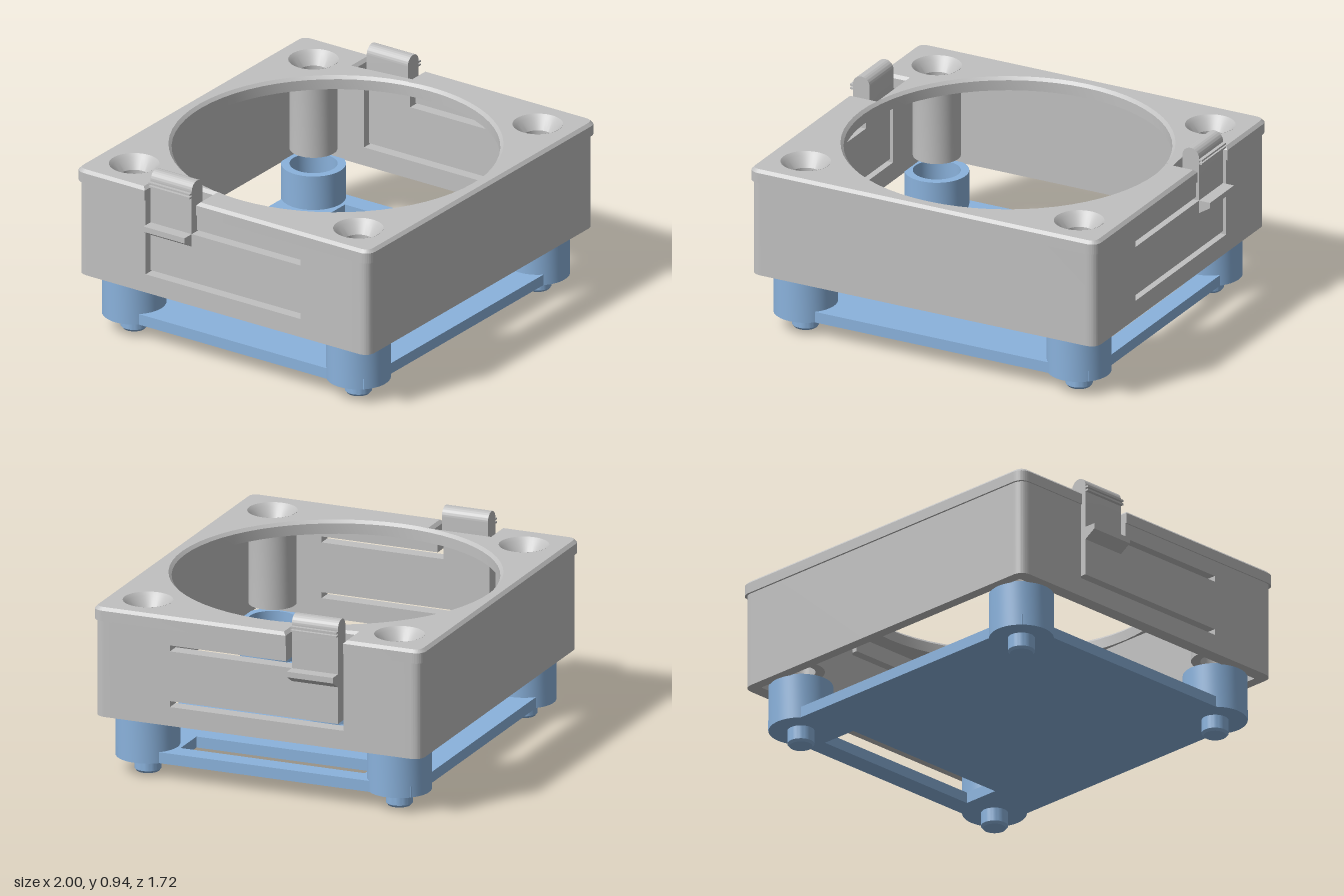
import * as THREE from 'three';
import { toCreasedNormals } from 'three/addons/utils/BufferGeometryUtils.js';

export function createModel() {
  const model = new THREE.Group();
  const grey = new THREE.MeshStandardMaterial({ color: 0xc0c0c0 });
  grey.name = 'light grey';
  const blue = new THREE.MeshStandardMaterial({ color: 0x8ab2dc });
  blue.name = 'soft blue';

  const add = (name, geometry, material, x = 0, y = 0, z = 0) => {
    const mesh = new THREE.Mesh(toCreasedNormals(geometry, 0.5), material);
    mesh.name = name;
    mesh.position.set(x, y, z);
    model.add(mesh);
    return mesh;
  };
  const polygon = (pts) => new THREE.Shape(pts.map(([a, b]) => new THREE.Vector2(a, b)));
  const extrude = (shape, depth) =>
    new THREE.ExtrudeGeometry(shape, { depth, bevelEnabled: false, curveSegments: 24 });
  const lathe = (pts) =>
    new THREE.LatheGeometry(pts.map(([r, y]) => new THREE.Vector2(r, y)), 48);
  const circle = (x, y, r) => new THREE.Path().absarc(x, y, r, 0, Math.PI * 2, true);
  const corners = [[-0.743, -0.655], [0.743, -0.655], [-0.743, 0.655], [0.743, 0.655]];

  // Base plate with one long slot
  const plate = polygon([[-0.855, -0.765], [0.855, -0.765], [0.855, 0.765], [-0.855, 0.765]]);
  plate.holes.push(polygon([[0.565, -0.48], [0.565, 0.48], [0.755, 0.48], [0.755, -0.48]]));
  add('basePlate', extrude(plate, 0.055).rotateX(-Math.PI / 2), blue, 0, 0.08, 0);
  add('centrePost', new THREE.CylinderGeometry(0.148, 0.148, 0.2, 48), blue, 0, 0.21, 0);

  // Corner sockets with locating pins, and the screw tubes above them
  const socket = [[0, 0.08], [0.155, 0.08], [0.155, 0.31], [0.115, 0.31], [0.115, 0.16], [0, 0.16]];
  const pin = [[0, 0], [0.055, 0], [0.065, 0.012], [0.065, 0.09]];
  const tube = [[0.07, 0.39], [0.115, 0.39], [0.115, 0.79], [0.12, 0.855],
    [0.105, 0.84], [0.07, 0.79], [0.07, 0.39]];
  for (const [x, z] of corners) {
    add('cornerSocket', lathe(socket), blue, x, 0, z);
    add('locatingPin', lathe(pin), blue, x, 0, z);
    add('screwTube', lathe(tube), grey, x, 0, z);
  }

  // Front and back walls with rounded corners
  for (const s of [1, -1]) {
    const wall = new THREE.Shape();
    wall.moveTo(0.94, s * 0.75);
    wall.lineTo(0.94, s * 0.79);
    wall.quadraticCurveTo(0.94, s * 0.85, 0.88, s * 0.85);
    wall.lineTo(-0.88, s * 0.85);
    wall.quadraticCurveTo(-0.94, s * 0.85, -0.94, s * 0.79);
    for (const [x, z] of [[-0.94, 0.75], [-0.87, 0.75], [-0.87, 0.795], [0.87, 0.795], [0.87, 0.75]]) {
      wall.lineTo(x, s * z);
    }
    add(s > 0 ? 'backWall' : 'frontWall', extrude(wall, 0.485).rotateX(-Math.PI / 2), grey, 0, 0.305, 0);
  }

  // Side walls, slotted to leave a springy clip arm (z, y outline)
  const sideWall = polygon([
    [-0.75, 0.305], [0.75, 0.305], [0.75, 0.79], [-0.15, 0.79], [-0.15, 0.71], [0.455, 0.71],
    [0.455, 0.68], [-0.18, 0.68], [-0.18, 0.8], [-0.42, 0.8], [-0.42, 0.43], [0.455, 0.43],
    [0.455, 0.4], [-0.45, 0.4], [-0.45, 0.79], [-0.75, 0.79],
  ]);
  for (const s of [1, -1]) {
    const side = s > 0 ? 'left' : 'right';
    add(side + 'WallWithClipArm', extrude(sideWall, 0.07).rotateY(-Math.PI / 2), grey, s > 0 ? 0.94 : -0.87, 0, 0);

    // Rounded clip head, grip ridges and wedge-shaped catch
    const head = new THREE.Shape();
    head.moveTo(-0.045, 0.78);
    head.lineTo(0.045, 0.78);
    head.lineTo(0.045, 0.9);
    head.absarc(0, 0.9, 0.045, 0, Math.PI, false);
    head.lineTo(-0.045, 0.78);
    add(side + 'ClipHead', extrude(head, 0.24), grey, s * 0.895, 0, -0.42);
    for (const y of [0.872, 0.89]) {
      add(side + 'GripRidge', new THREE.BoxGeometry(0.025, 0.009, 0.24), grey, s * 0.945, y, -0.3);
    }
    const hook = polygon([[0.93, 0.61], [0.94, 0.615], [1, 0.652], [1, 0.68], [0.93, 0.68]]
      .map(([x, y]) => [s * x, y]));
    add(side + 'ClipCatch', extrude(hook, 0.24), grey, 0, 0, -0.42);
  }

  // Lid: rounded outline notched for the clips, large round opening, screw holes
  const X = 0.947, Z = 0.86, R = 0.06;
  const lid = new THREE.Shape();
  lid.moveTo(-X + R, -Z);
  lid.lineTo(X - R, -Z);
  lid.quadraticCurveTo(X, -Z, X, -Z + R);
  for (const [x, y] of [[X, 0.15], [0.8, 0.15], [0.8, 0.45], [X, 0.45], [X, Z - R]]) lid.lineTo(x, y);
  lid.quadraticCurveTo(X, Z, X - R, Z);
  lid.lineTo(-X + R, Z);
  lid.quadraticCurveTo(-X, Z, -X, Z - R);
  for (const [x, y] of [[-X, 0.45], [-0.8, 0.45], [-0.8, 0.15], [-X, 0.15], [-X, -Z + R]]) lid.lineTo(x, y);
  lid.quadraticCurveTo(-X, -Z, -X + R, -Z);
  lid.holes.push(circle(0, 0, 0.785), ...corners.map(([x, z]) => circle(x, -z, 0.106)));
  const lidGeometry = new THREE.ExtrudeGeometry(lid, {
    depth: 0.052, bevelEnabled: true, bevelSegments: 1, bevelThickness: 0.015,
    bevelSize: 0.015, bevelOffset: -0.015, curveSegments: 32,
  });
  // Flatten the underside bevel so only the top edges are chamfered
  const pos = lidGeometry.attributes.position;
  for (let i = 0; i < pos.count; i++) pos.setZ(i, Math.max(0, pos.getZ(i)));
  add('lid', lidGeometry.rotateX(-Math.PI / 2), grey, 0, 0.788, 0);

  return model;
}
